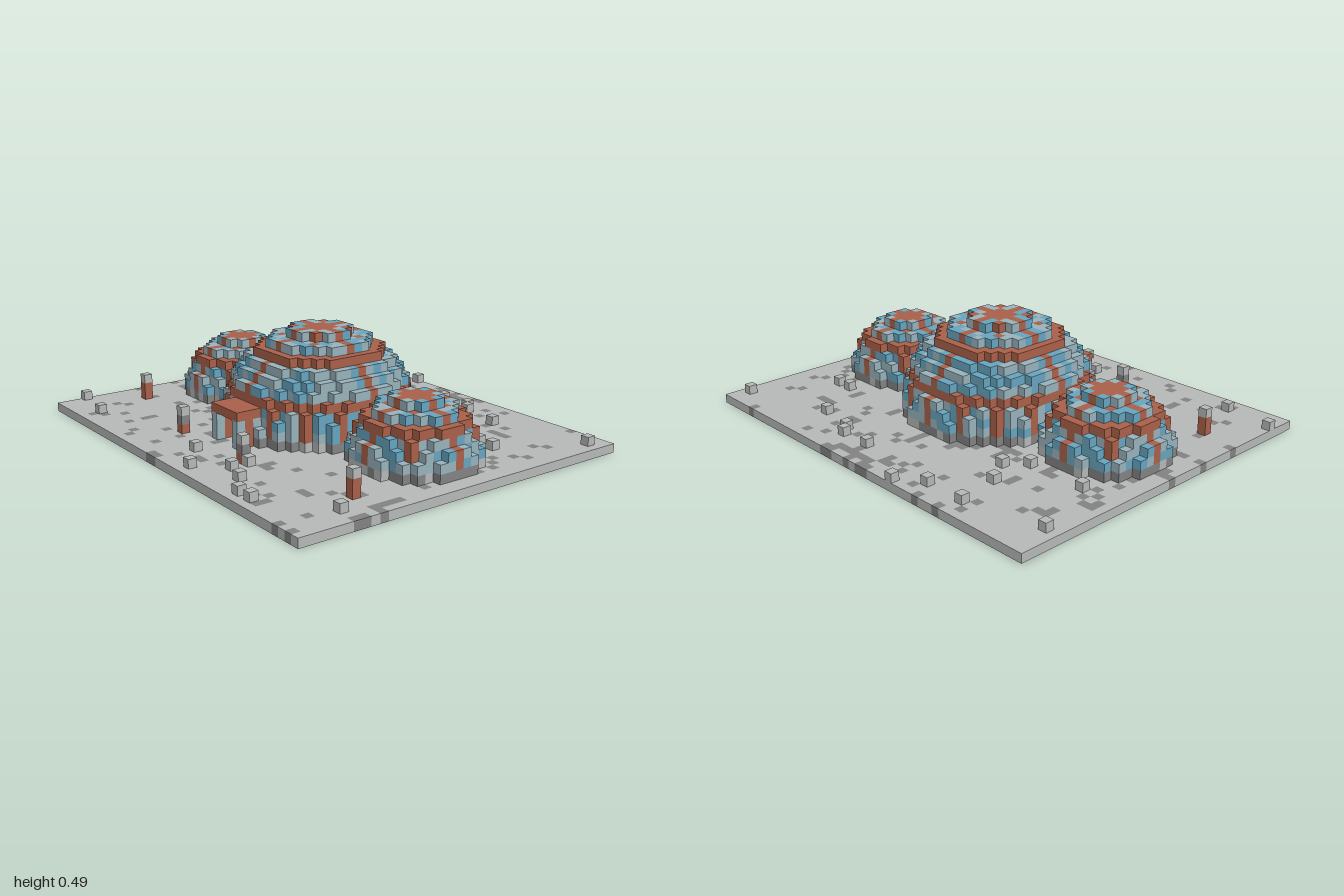
import * as THREE from 'three';
import { mergeGeometries } from 'three/addons/utils/BufferGeometryUtils.js';

const V = 2 / 49; // voxel size

const mat = (name, color) => {
  const m = new THREE.MeshStandardMaterial({ color });
  m.name = name;
  return m;
};

const materials = {
  stone: mat('light stone', 0xb5b8b7),
  rock: mat('dark rock', 0x828282),
  frame: mat('rust frame', 0xa9604a),
  glass: mat('blue glass', 0x66a4bf),
  panel: mat('pale panel', 0x98b2bb),
};

// Repeatable value in 0..1 for a cell
const noise = (i, j, k) => {
  let h = (i * 374761393 + j * 668265263 + k * 2147483647 + 97531) | 0;
  h = Math.imul(h ^ (h >>> 13), 1274126177);
  h = Math.imul(h ^ (h >>> 15), 2246822519);
  return ((h ^ (h >>> 16)) >>> 0) / 4294967296;
};

// True when a cell lies on one of n ribs running out from the centre
const onRib = (i, k, n) => {
  const r = Math.hypot(i, k), step = (2 * Math.PI) / n;
  const a = Math.atan2(k, i);
  return Math.abs(Math.sin(a - Math.round(a / step) * step)) * r < 0.5;
};

// The six outward faces of a voxel
const faces = [
  [0, 0, 1, 0, 0], [0, 0, -1, 0, Math.PI],
  [1, 0, 0, 0, Math.PI / 2], [-1, 0, 0, 0, -Math.PI / 2],
  [0, 1, 0, -Math.PI / 2, 0], [0, -1, 0, Math.PI / 2, 0],
].map(([x, y, z, rx, ry]) => ({
  dir: [x, y, z],
  geo: new THREE.PlaneGeometry(V, V).rotateX(rx).rotateY(ry).translate(x * V / 2, y * V / 2, z * V / 2),
}));

export function createModel() {
  const cells = new Map();
  const put = (part, color, i, j, k) => cells.set(`${i},${j},${k}`, { part, color, i, j, k });

  // Ground slab with rock patches, dark dome footings and a rust floor pattern
  for (let i = -24; i <= 24; i++) for (let k = -20; k <= 20; k++) {
    const r = Math.hypot(i, k);
    const footing = r < 10.6 || Math.hypot(Math.abs(i) - 16, k) < 6.6;
    const clump = noise(i, 0, k) * 0.6 + noise(i >> 1, 7, k >> 1) * 0.4;
    let color = footing || clump > 0.77 ? 'rock' : 'stone';
    const ring = r > 5.7 && r < 7 && !onRib(i, k, 8);
    const studs = r > 8.2 && r < 9 && onRib(i, k, 16);
    if (r < 4.2 || ring || studs) color = 'frame';
    put('ground', color, i, 0, k);
  }

  // Stepped dome: rust hoops and ribs, glazed panels, rock footing
  const dome = (part, cx, n, hoops, upper, lowRibs) => {
    const R2 = (n + 0.5) ** 2;
    for (let j = 1; j <= n + 1; j++) for (let i = -n; i <= n; i++) for (let k = -n; k <= n; k++) {
      if (i * i + k * k + (j - 1) ** 2 > R2) continue;
      let color = noise(i + cx, j, k) < 0.42 ? 'glass' : 'panel';
      const ribs = j < 5 ? lowRibs : j >= upper ? 8 : 4;
      if (j === 1) color = noise(i + cx, j, k) < 0.25 ? 'stone' : 'rock';
      else if (hoops.includes(j) || onRib(i, k, ribs)) color = 'frame';
      else if (j === n + 1 && i * i + k * k < 3) color = 'frame';
      put(part, color, i + cx, j, k);
    }
  };
  dome('rightDome', -16, 6, [5], 6, 8);
  dome('leftDome', 16, 6, [5], 6, 8);
  dome('mainDome', 0, 10, [5, 9], 10, 16);

  // Entrance porch: two side walls under a flat roof
  for (let k = 10; k <= 12; k++) {
    for (let i = -2; i <= 2; i++) put('porch', 'frame', i, 4, k);
    for (const i of [-2, 2]) for (let j = 1; j < 4; j++) {
      put('porch', k === 11 ? 'frame' : 'panel', i, j, k);
    }
  }

  // Lamp posts
  for (const s of [-1, 1]) for (const [i, k] of [[6, 14], [20, 11]]) {
    put('lampPost', 'frame', s * i, 1, k);
    put('lampPost', k === 14 ? 'rock' : 'frame', s * i, 2, k);
    put('lampPost', 'stone', s * i, 3, k);
  }

  // Loose boulders
  const boulders = [
    [-9, -18], [-23, -16], [2, -17], [6, -17], [7, -16], [-13, -13], [-11, -10], [16, -9],
    [18, -9], [-20, -8], [-13, -8], [22, 14], [0, 16], [7, 16], [4, 19], [15, 19], [13, 19],
    [-18, 18], [7, 14], [10, 17], [12, -15], [-14, -18], [-6, -20], [23, -18], [-24, 17],
  ];
  for (const [i, k] of boulders) put('boulders', 'stone', i, 1, k);

  // Gather the exposed faces by part and colour
  const parts = {};
  for (const { part, color, i, j, k } of cells.values()) {
    for (const { dir: [x, y, z], geo } of faces) {
      if (cells.has(`${i + x},${j + y},${k + z}`)) continue;
      const byColor = (parts[part] ??= {});
      (byColor[color] ??= []).push(geo.clone().translate(i * V, (j + 0.5) * V, k * V));
    }
  }

  const model = new THREE.Group();
  model.name = 'domeBase';
  for (const [part, byColor] of Object.entries(parts)) {
    const group = new THREE.Group();
    group.name = part;
    for (const [color, list] of Object.entries(byColor)) {
      const mesh = new THREE.Mesh(mergeGeometries(list), materials[color]);
      mesh.name = `${part} ${color}`;
      group.add(mesh);
    }
    model.add(group);
  }
  return model;
}
